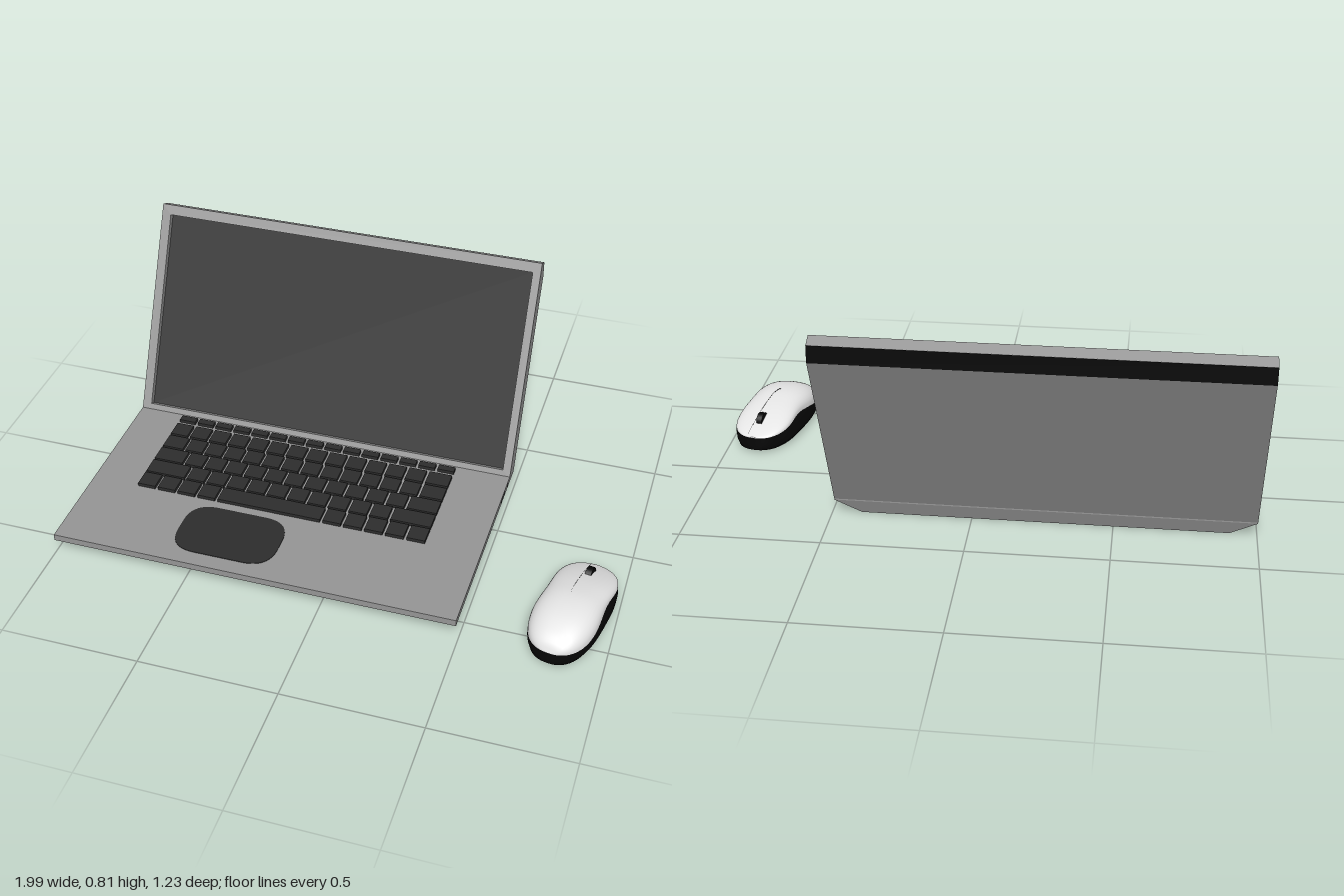
import * as THREE from 'three';

const mat = (name, color, side = THREE.FrontSide) => {
  const m = new THREE.MeshStandardMaterial({ color, side });
  m.name = name;
  return m;
};

export function createModel() {
  const root = new THREE.Group();
  const grey = mat('metal grey', 0x959595);
  const black = mat('black plastic', 0x060606, THREE.DoubleSide);
  const glass = mat('screen black', 0x0e0e0e);
  const dark = mat('key grey', 0x2d2d2d);
  const white = mat('mouse white', 0xe4e4e4, THREE.DoubleSide);

  const add = (parent, name, geo, material, x = 0, y = 0, z = 0) => {
    const m = new THREE.Mesh(geo, material);
    m.name = name;
    m.position.set(x, y, z);
    parent.add(m);
    return m;
  };
  const box = (w, h, d) => new THREE.BoxGeometry(w, h, d);
  const W = 1.49, CX = -0.255; // laptop width and middle

  // ---- base ----
  const laptop = new THREE.Group();
  laptop.name = 'laptop';
  root.add(laptop);
  add(laptop, 'baseSlab', box(W, 0.025, 0.87), grey, CX, 0.0675, 0.145);
  const under = box(W, 0.055, 0.87);
  const up = under.attributes.position;
  for (let i = 0; i < up.count; i++) {
    if (up.getY(i) > 0) continue;
    up.setX(i, up.getX(i) - Math.sign(up.getX(i)) * 0.095);
    up.setZ(i, up.getZ(i) > 0 ? 0.335 : -0.415);
  }
  under.computeVertexNormals();
  add(laptop, 'taperedUnderside', under, [black, black, black, black, black, grey], CX, 0.0275, 0.145);

  // side sockets
  add(laptop, 'socketRim', box(0.002, 0.014, 0.06), dark, 0.49, 0.069, -0.11);
  add(laptop, 'socket', box(0.003, 0.009, 0.053), grey, 0.49, 0.069, -0.11);
  const jack = new THREE.CylinderGeometry(0.005, 0.005, 0.003, 12).rotateZ(Math.PI / 2);
  add(laptop, 'audioJack', jack, dark, 0.49, 0.069, -0.185);

  // trackpad with rounded corners
  const rounded = (w, h, r) => {
    const s = new THREE.Shape(), a = w / 2, b = h / 2;
    s.moveTo(-a + r, -b).lineTo(a - r, -b).quadraticCurveTo(a, -b, a, -b + r);
    s.lineTo(a, b - r).quadraticCurveTo(a, b, a - r, b);
    s.lineTo(-a + r, b).quadraticCurveTo(-a, b, -a, b - r);
    s.lineTo(-a, -b + r).quadraticCurveTo(-a, -b, -a + r, -b);
    return s;
  };
  const pad = new THREE.ExtrudeGeometry(rounded(0.38, 0.25, 0.1), { depth: 0.003, bevelEnabled: false });
  add(laptop, 'trackpad', pad.rotateX(-Math.PI / 2), dark, -0.395, 0.079, 0.395);

  // ---- keyboard: rows of relative key widths ----
  const rep = (n, w = 1) => Array(n).fill(w);
  const rows = [
    [-0.2, -0.172, rep(15)],
    [-0.15, -0.081, [...rep(13), 1.25]],
    [-0.071, -0.001, [1.2, ...rep(12), 1.25]],
    [0.008, 0.079, [1.55, ...rep(11), 1.55]],
    [0.087, 0.158, [2.05, ...rep(10), 2.05]],
    [0.166, 0.236, [...rep(4), 5.15, ...rep(5)]],
  ];
  const keyboard = new THREE.Group();
  keyboard.name = 'keyboard';
  laptop.add(keyboard);
  for (const [z0, z1, widths] of rows) {
    const unit = 1.117 / widths.reduce((a, b) => a + b, 0);
    let x = -0.821;
    for (const w of widths) {
      const kw = w * unit;
      add(keyboard, 'key', box(kw - 0.011, 0.014, z1 - z0), dark, x + (kw - 0.011) / 2, 0.086, (z0 + z1) / 2);
      x += kw;
    }
  }

  // ---- lid, built upright and tilted back ----
  const lid = new THREE.Group();
  lid.name = 'lid';
  lid.position.set(0, 0.08, -0.22);
  lid.rotation.x = -0.447;
  laptop.add(lid);
  const depth = 0.025;
  const profile = new THREE.Shape([
    [depth, 0], [0.072, 0.008], [0.072, 0.755], [0.045, 0.81], [depth, 0.81],
  ].map(([x, y]) => new THREE.Vector2(x, y)));
  const shell = new THREE.ExtrudeGeometry(profile, { depth: W, bevelEnabled: false }).rotateY(Math.PI / 2);
  add(lid, 'lidShell', shell, grey, -1);

  const rect = (C, x0, y0, x1, y1) =>
    new C([[x0, y0], [x1, y0], [x1, y1], [x0, y1]].map(([x, y]) => new THREE.Vector2(x, y)));
  const frame = rect(THREE.Shape, -1, 0, 0.49, 0.81);
  frame.holes.push(rect(THREE.Path, -0.965, 0.022, 0.46, 0.772));
  add(lid, 'screenFrame', new THREE.ExtrudeGeometry(frame, { depth, bevelEnabled: false }), grey, 0, 0, -depth);
  add(lid, 'screen', box(1.425, 0.75, 0.003), glass, CX + 0.0025, 0.397, -depth);
  const strip = add(lid, 'rearEdgeStrip', box(W, 0.061, 0.002), black, CX, 0.7825, -0.0585);
  strip.rotation.x = Math.atan2(0.027, 0.055);

  // ---- mouse, nose towards -z ----
  const mouse = new THREE.Group();
  mouse.name = 'mouse';
  mouse.position.set(0.853, 0, 0.378);
  mouse.rotation.y = -0.18;
  root.add(mouse);
  const L = 0.237;
  const lerpTable = (pts) => (t) => {
    let i = 0;
    while (i < pts.length - 2 && t > pts[i + 1][0]) i++;
    const [a, b] = [pts[i], pts[i + 1]];
    const k = (t - a[0]) / (b[0] - a[0]);
    const slope = (j) => {
      const p = pts[Math.max(j - 1, 0)], q = pts[Math.min(j + 1, pts.length - 1)];
      return (q[1] - p[1]) / (q[0] - p[0]) * (b[0] - a[0]);
    };
    const k2 = k * k, k3 = k2 * k;
    return (2 * k3 - 3 * k2 + 1) * a[1] + (k3 - 2 * k2 + k) * slope(i)
      + (3 * k2 - 2 * k3) * b[1] + (k3 - k2) * slope(i + 1);
  };
  const top = lerpTable([[-1, 0.062], [-0.8, 0.085], [-0.5, 0.112], [-0.2, 0.131], [0.15, 0.143], [0.5, 0.135], [0.8, 0.108], [0.94, 0.082], [1, 0.056]]);
  const seam = lerpTable([[-1, 0.058], [-0.6, 0.073], [-0.2, 0.088], [0.2, 0.078], [0.6, 0.061], [1, 0.054]]);
  const half = (t) => 0.12 * Math.pow(Math.max(0, 1 - Math.pow(Math.abs(t), 3)), 0.42);
  const inset = (t) => 1 - 0.1 * Math.exp(-Math.pow((t + 0.15) / 0.4, 2));

  // skin cross-sections section(t) -> [[x, y], ...] along the length
  const loft = (section, t0 = -1, t1 = 1, n = 40) => {
    const pos = [], idx = [];
    let m = 0;
    for (let i = 0; i <= n; i++) {
      const t = t0 + (t1 - t0) * (1 - Math.cos(Math.PI * i / n)) / 2;
      const s = section(t);
      m = s.length;
      for (const [x, y] of s) pos.push(x, y, t * L);
    }
    for (let i = 0; i < n; i++) for (let j = 0; j < m - 1; j++) {
      const a = i * m + j, b = a + m;
      idx.push(a, b, a + 1, b, b + 1, a + 1);
    }
    const g = new THREE.BufferGeometry();
    g.setAttribute('position', new THREE.Float32BufferAttribute(pos, 3));
    g.setIndex(idx);
    g.computeVertexNormals();
    return g;
  };
  const dome = (t) => Array.from({ length: 21 }, (_, j) => {
    const a = Math.PI * j / 20, c = Math.cos(a);
    const s = Math.pow(Math.max(0, Math.sin(a)), 0.85);
    return [half(t) * inset(t) * Math.sign(c) * Math.pow(Math.abs(c), 0.85), seam(t) + (top(t) - seam(t)) * s];
  });
  const lower = (t) => {
    const w = half(t), y = seam(t);
    const side = [[w * inset(t), y], [w, y * 0.65], [w * 0.98, 0.025], [w * 0.9, 0.008]];
    return [...side.map(([x, h]) => [-x, h]), ...side.reverse()];
  };
  add(mouse, 'mouseTop', loft(dome), white);
  add(mouse, 'mouseBottom', loft(lower), black);

  // dark strip lying on the top, with the wheel in it
  const band = (t) => {
    const w = (0.023 - 0.01 * (t + 1)) * Math.sqrt(Math.min(1, Math.max(0, (0.16 - t) * 6)));
    return [[w, top(t) - 0.003], [w, top(t) + 0.002], [-w, top(t) + 0.002], [-w, top(t) - 0.003]];
  };
  add(mouse, 'wheelStrip', loft(band, -0.97, 0.16, 24), dark);
  const wheel = new THREE.CylinderGeometry(0.03, 0.03, 0.022, 24).rotateZ(Math.PI / 2);
  add(mouse, 'scrollWheel', wheel, black, 0, 0.092, -0.145);
  for (const z of [-0.14, 0.14]) for (const x of [-0.05, 0.05])
    add(mouse, 'glidePad', box(0.05, 0.008, 0.03), black, x, 0.005, z);

  return root;
}
